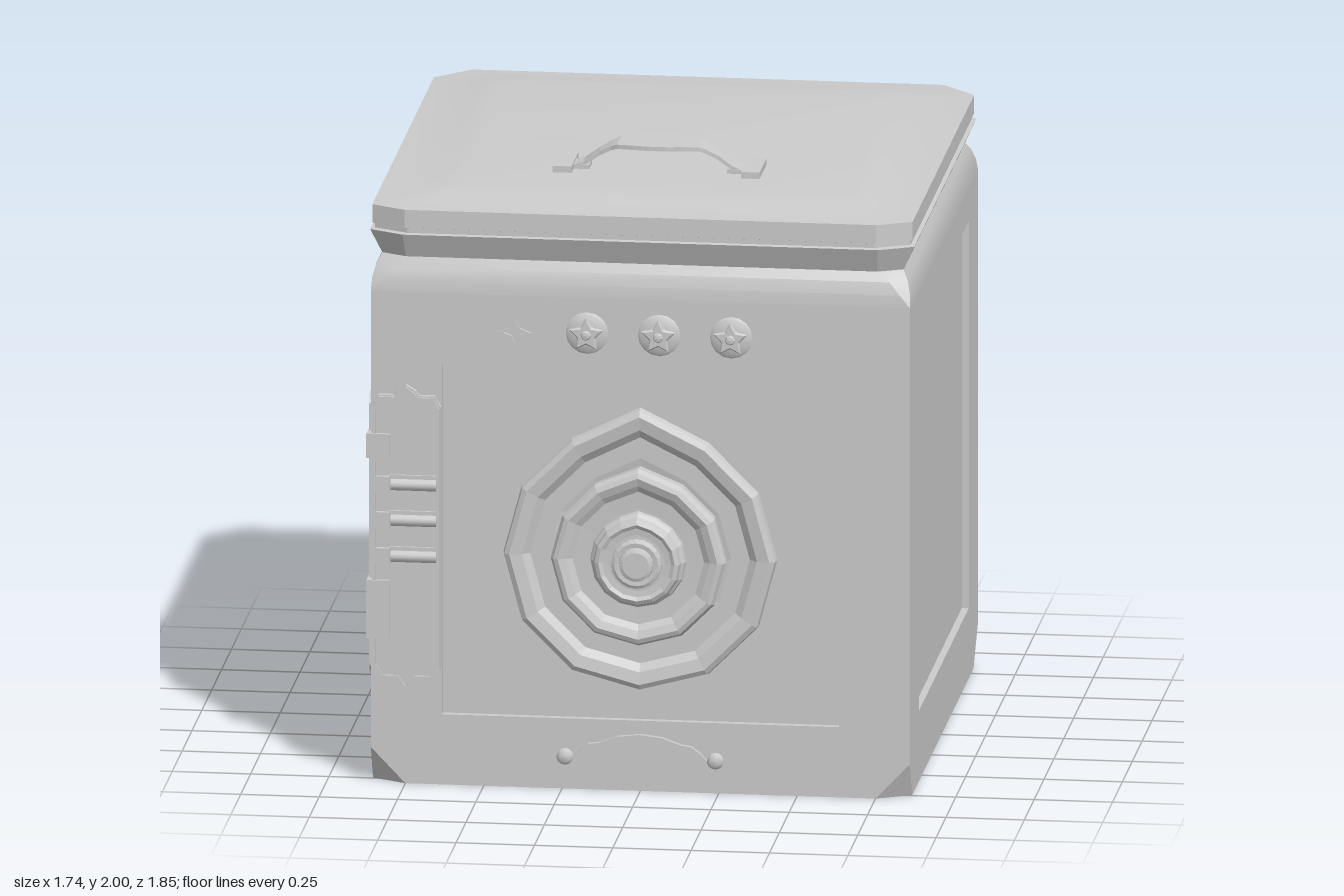
import * as THREE from 'three';
import { toCreasedNormals, mergeVertices } from 'three/addons/utils/BufferGeometryUtils.js';

const CZ = -0.06, H = 0.86; // body centre in z and half width
const mat = new THREE.MeshStandardMaterial({ color: 0xcccccc, side: THREE.DoubleSide });
const flat = new THREE.MeshStandardMaterial({ color: 0xcccccc, side: THREE.DoubleSide, flatShading: true });

function add(parent, name, geo, x = 0, y = 0, z = 0, m = flat) {
  const mesh = new THREE.Mesh(geo, m);
  mesh.name = name;
  mesh.position.set(x, y, z);
  parent.add(mesh);
  return mesh;
}

// Skin a stack of equal-length rings; optionally cap the ends
function loft(rings, capStart, capEnd, crease = 0) {
  const n = rings[0].length, pos = [];
  const tri = (a, b, c) => pos.push(...a, ...b, ...c);
  for (let i = 0; i < rings.length - 1; i++)
    for (let j = 0; j < n; j++) {
      const k = (j + 1) % n;
      tri(rings[i][j], rings[i][k], rings[i + 1][k]);
      tri(rings[i][j], rings[i + 1][k], rings[i + 1][j]);
    }
  const first = rings[0], last = rings[rings.length - 1];
  for (let j = 1; j < n - 1; j++) {
    if (capStart) tri(first[0], first[j + 1], first[j]);
    if (capEnd) tri(last[0], last[j], last[j + 1]);
  }
  const g = new THREE.BufferGeometry();
  g.setAttribute('position', new THREE.Float32BufferAttribute(pos, 3));
  g.computeVertexNormals();
  return crease ? toCreasedNormals(mergeVertices(g.deleteAttribute('normal')), crease) : g;
}

// Square section with cut corners; the front cuts are shallower in z
function section(y, h, c) {
  const f = c * 0.5;
  return [[-h + c, h], [h - c, h], [h, h - f], [h, -h + c], [h - c, -h], [-h + c, -h], [-h, -h + c], [-h, h - f]]
    .map(([x, z]) => [x, y, z]);
}

const poly = (pts) => new THREE.Shape(pts.map(([x, y]) => new THREE.Vector2(x, y)));
const rect = (w, y0, y1) => [[-w, y0], [w, y0], [w, y1], [-w, y1]];
const extrude = (shape, depth, bevel = 0) => new THREE.ExtrudeGeometry(shape, {
  depth, bevelEnabled: bevel > 0, bevelSize: bevel, bevelThickness: bevel, bevelSegments: 1, curveSegments: 10,
});

// Turned part facing +z; `peak` stretches the topmost corner
function turned(profile, sides, peak = 1) {
  const g = new THREE.LatheGeometry(profile.map(([r, z]) => new THREE.Vector2(r, z)), sides);
  g.rotateX(Math.PI / 2);
  const p = g.attributes.position;
  for (let i = 0; i < p.count; i++)
    if (p.getY(i) > 0.01 && Math.abs(p.getX(i)) < 1e-4) p.setY(i, p.getY(i) * peak);
  return g;
}

function star(points, rx, ry, inner) {
  const pts = [];
  for (let i = 0; i < points * 2; i++) {
    const a = Math.PI / 2 + (i * Math.PI) / points, k = i % 2 ? inner : 1;
    pts.push([Math.cos(a) * rx * k, Math.sin(a) * ry * k]);
  }
  return poly(pts);
}

// Hinge plate outline: stepped corners and a pointed crest at each end
function plateOutline(s, t) {
  const q = [[0.11, 0.43], [0.10, 0.445], [0.09, 0.465], [0.04, 0.465], [0.03, 0.48], [0, 0.5]]
    .map(([x, y]) => [Math.max(0, x - (x > 0 ? t : 0)) * s, y - t]);
  const left = q.slice(0, -1).reverse().map(([x, y]) => [-x, y]);
  const top = [...q, ...left];
  return [...top, ...top.map(([x, y]) => [-x, -y])];
}

function createBody(root) {
  const body = new THREE.Group();
  body.name = 'body';
  body.position.z = CZ;
  root.add(body);
  add(body, 'bodyBase', loft([section(0, H, 0.11), section(0.115, H, 0)], true, false));
  add(body, 'bodyShoulder', loft([
    section(1.61, H, 0), section(1.65, 0.858, 0.03), section(1.69, 0.848, 0.055), section(1.72, 0.832, 0.07),
  ], false, true, 0.5), 0, 0, 0, mat);
  // Four walls, each with a sunken panel
  for (let k = 0; k < 4; k++) {
    const wall = new THREE.Group();
    wall.name = ['frontWall', 'leftWall', 'backWall', 'rightWall'][k];
    wall.rotation.y = (k * Math.PI) / 2;
    body.add(wall);
    const opening = rect(0.633, 0.23, k === 0 ? 1.38 : 1.5);
    const frame = poly(rect(H, 0.115, 1.61));
    frame.holes.push(poly(opening));
    add(wall, 'wallFrame', new THREE.ShapeGeometry(frame), 0, 0, H);
    const ringAt = (z) => opening.map(([x, y]) => [x, y, z]);
    add(wall, 'sunkenPanel', loft([ringAt(H), ringAt(H - 0.022)], false, true));
  }
  // Lid: flared collar, groove, rim and shallow dome
  add(body, 'lid', loft([
    section(1.72, 0.832, 0.08), section(1.80, 0.868, 0.11), section(1.803, 0.855, 0.11), section(1.818, 0.855, 0.11),
    section(1.82, 0.862, 0.11), section(1.88, 0.862, 0.11), section(1.886, 0.78, 0.09),
    section(1.902, 0.70, 0.07), section(1.91, 0.63, 0.05),
  ], false, true, 0.35), 0, 0, 0, mat);
}

function createHandle(root) {
  const handle = new THREE.Group();
  handle.name = 'handle';
  handle.position.set(0, 0, 0.31);
  root.add(handle);
  for (const s of [-1, 1]) {
    add(handle, 'handleFoot', new THREE.BoxGeometry(0.06, 0.022, 0.18), s * 0.3, 1.92, 0);
    add(handle, 'handleTab', new THREE.BoxGeometry(0.06, 0.015, 0.075), s * 0.25, 1.916, 0);
  }
  // Strap path: x, top y, half width
  const half = [[0.27, 1.922, 0.035], [0.24, 1.932, 0.035], [0.19, 1.968, 0.037], [0.15, 1.99, 0.045],
    [0.13, 1.998, 0.055], [0.08, 2, 0.068], [0.03, 2, 0.075]];
  const path = [...half.map(([x, y, w]) => [-x, y, w]), ...half.slice().reverse()];
  add(handle, 'handleStrap', loft(path.map(([x, y, w]) =>
    [[x, y - 0.014, -w], [x, y, -w], [x, y, w], [x, y - 0.014, w]]), true, true));
}

function createDial(root) {
  const dial = new THREE.Group();
  dial.name = 'dial';
  dial.position.set(0, 0.77, 0);
  root.add(dial);
  add(dial, 'dialOuterRing', turned([
    [0.425, 0.775], [0.437, 0.80], [0.432, 0.822], [0.415, 0.832], [0.375, 0.825], [0.35, 0.805], [0.29, 0.805], [0.26, 0.80],
  ], 12, 1.115));
  add(dial, 'dialMiddleRing', turned([
    [0.275, 0.79], [0.28, 0.85], [0.27, 0.868], [0.255, 0.874], [0.23, 0.865], [0.21, 0.852], [0.16, 0.85], [0.12, 0.85],
  ], 12, 1.07));
  add(dial, 'dialInnerRing', turned([
    [0.155, 0.84], [0.15, 0.865], [0.14, 0.875], [0.135, 0.895], [0.122, 0.902], [0.11, 0.895], [0.09, 0.893], [0.05, 0.895],
  ], 16, 1.05));
  add(dial, 'dialHub', turned([[0.082, 0.88], [0.08, 0.905], [0.07, 0.91], [0.055, 0.908], [0.053, 0.92], [0.042, 0.924], [0, 0.924]], 20));
}

function createKnobs(root) {
  for (const x of [-0.17, 0.06, 0.29]) {
    const knob = new THREE.Group();
    knob.name = 'knob';
    knob.position.set(x, 1.495, 0.8);
    root.add(knob);
    add(knob, 'knobBase', turned([[0.068, 0], [0.06, 0.006], [0.035, 0.014], [0, 0.016]], 16), 0, 0, 0, mat);
    add(knob, 'knobStem', turned([[0.034, 0.005], [0.03, 0.028], [0, 0.028]], 10));
    add(knob, 'knobStar', extrude(star(5, 0.05, 0.05, 0.5), 0.006, 0.005), 0, 0, 0.022);
    add(knob, 'knobTip', turned([[0.018, 0.03], [0.012, 0.041], [0, 0.043]], 8));
  }
  const mark = star(4, 0.052, 0.046, 0.45);
  mark.holes.push(star(4, 0.035, 0.03, 0.45));
  add(root, 'starMark', extrude(mark, 0.01), -0.4, 1.49, 0.8);
}

function createHinge(root) {
  const hinge = new THREE.Group();
  hinge.name = 'hinge';
  root.add(hinge);
  // Plates on both sides of the corner
  const makePlate = (name, depth) => {
    const g = new THREE.Group();
    g.name = name;
    hinge.add(g);
    add(g, 'plate', extrude(poly(plateOutline(1, 0)), depth));
    const rim = poly(plateOutline(1, 0.004));
    rim.holes.push(poly(plateOutline(1, 0.014)));
    add(g, 'plateRim', extrude(rim, depth * 0.5), 0, 0, depth);
    return g;
  };
  makePlate('frontHingePlate', 0.018).position.set(-0.745, 0.81, 0.8);
  const side = makePlate('sideHingePlate', 0.005);
  side.position.set(-H, 0.81, 0.68);
  side.rotation.y = -Math.PI / 2;
  // Bands wrapping the corner
  for (const [y, h] of [[1.11, 0.08], [0.575, 0.19]])
    add(hinge, 'hingeBand', new THREE.BoxGeometry(0.075, h, 0.085), -0.8335, y, 0.788);
  // Three cross pins
  for (const y of [0.985, 0.868, 0.75]) {
    add(hinge, 'pinBacking', new THREE.BoxGeometry(0.155, 0.062, 0.012), -0.72, y, 0.82);
    add(hinge, 'pin', new THREE.CylinderGeometry(0.02, 0.02, 0.145, 12).rotateZ(Math.PI / 2), -0.72, y, 0.821, mat);
    add(hinge, 'pinCap', new THREE.BoxGeometry(0.045, 0.052, 0.025), -0.82, y, 0.82);
  }
}

function createOrnament(root) {
  const q = [[0.215, 0], [0.19, 0.025], [0.165, 0.045], [0.13, 0.05], [0.07, 0.072], [0, 0.08]];
  const top = [...q, ...q.slice(0, -1).reverse().map(([x, y]) => [-x, y])];
  const outline = [...top, ...top.slice(1, -1).map(([x, y]) => [-x, -y])];
  add(root, 'ornamentPlate', extrude(poly(outline), 0.015), 0, 0.107, 0.8);
  for (const s of [-1, 1])
    add(root, 'ornamentStud', turned([[0.026, 0], [0.026, 0.012], [0.015, 0.02], [0, 0.021]], 14), s * 0.24, 0.107, 0.8, mat);
}

export function createModel() {
  const root = new THREE.Group();
  root.name = 'cubicOven';
  createBody(root);
  createHandle(root);
  createDial(root);
  createKnobs(root);
  createHinge(root);
  createOrnament(root);
  return root;
}
